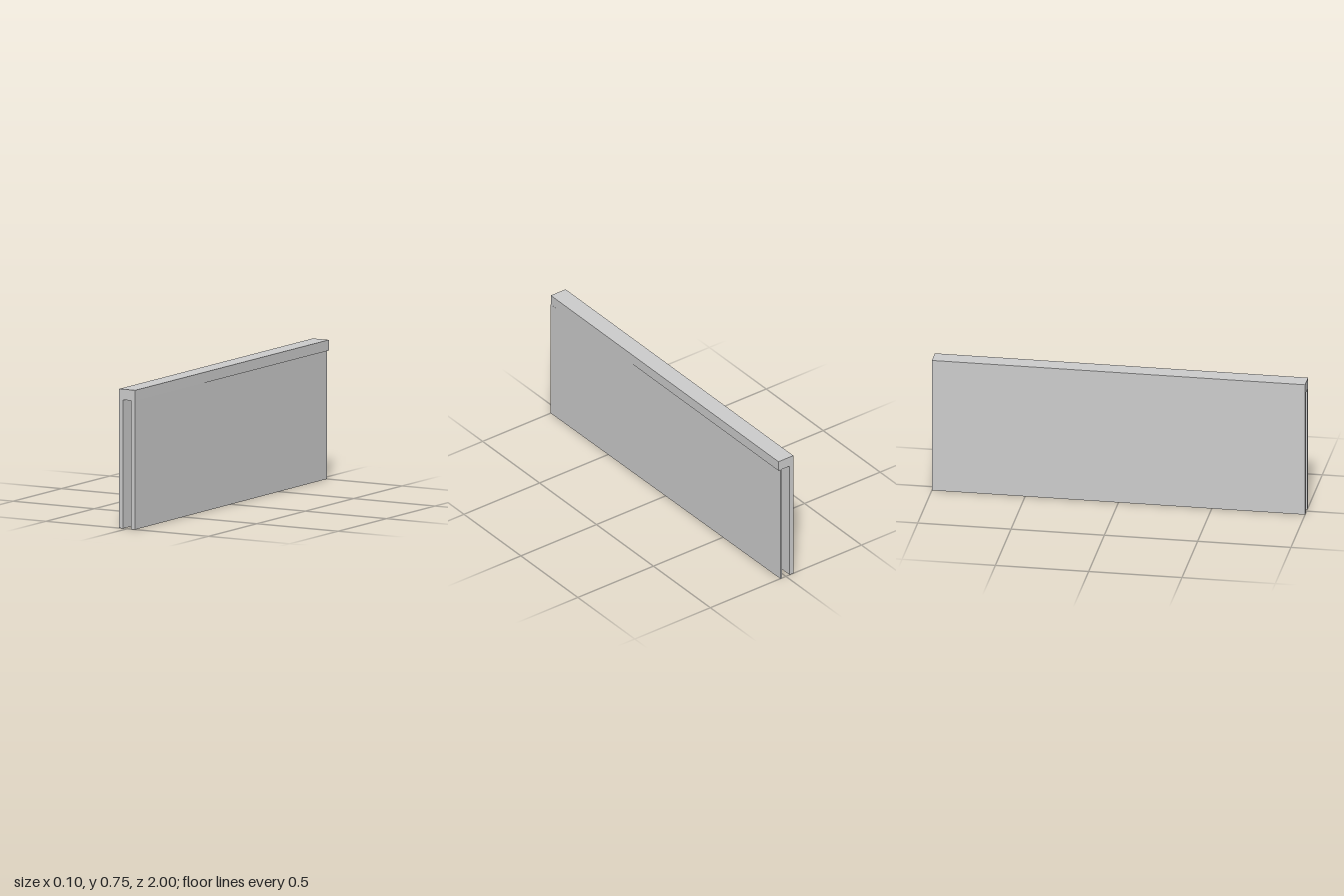
import * as THREE from 'three';

const material = new THREE.MeshStandardMaterial({ color: 0xcccccc, flatShading: true });

const TOP = 0.745;      // overall height
const CAP_BASE = 0.688; // underside of the top bar
const HALF = 0.049;     // half of the overall width
const GAP = 0.0245;     // half of the slot width

// Upright prism from a plan outline given as [x, z] corners
function prism(name, plan, y0, y1) {
  const shape = new THREE.Shape(plan.map(([x, z]) => new THREE.Vector2(x, -z)));
  const geometry = new THREE.ExtrudeGeometry(shape, { depth: y1 - y0, bevelEnabled: false });
  geometry.rotateX(-Math.PI / 2).translate(0, y0, 0);
  const mesh = new THREE.Mesh(geometry, material);
  mesh.name = name;
  return mesh;
}

export function createModel() {
  const group = new THREE.Group();
  group.name = 'slottedPanel';

  // Bar joining the two panels along the top
  group.add(prism('topBar', [[-HALF, 1], [HALF, 1], [HALF, -1], [-HALF, -1]], CAP_BASE, TOP));

  // Straight panel on the -x side
  group.add(prism('straightPanel', [[-HALF, 1], [-GAP, 1], [-GAP, -1], [-HALF, -1]], 0, CAP_BASE));

  // Panel on the +x side, its outer face tapering inward towards the back
  group.add(prism('taperedPanel', [[GAP, 1], [HALF + 0.0005, 1], [0.037, -1], [GAP, -1]], 0, CAP_BASE));

  return group;
}
